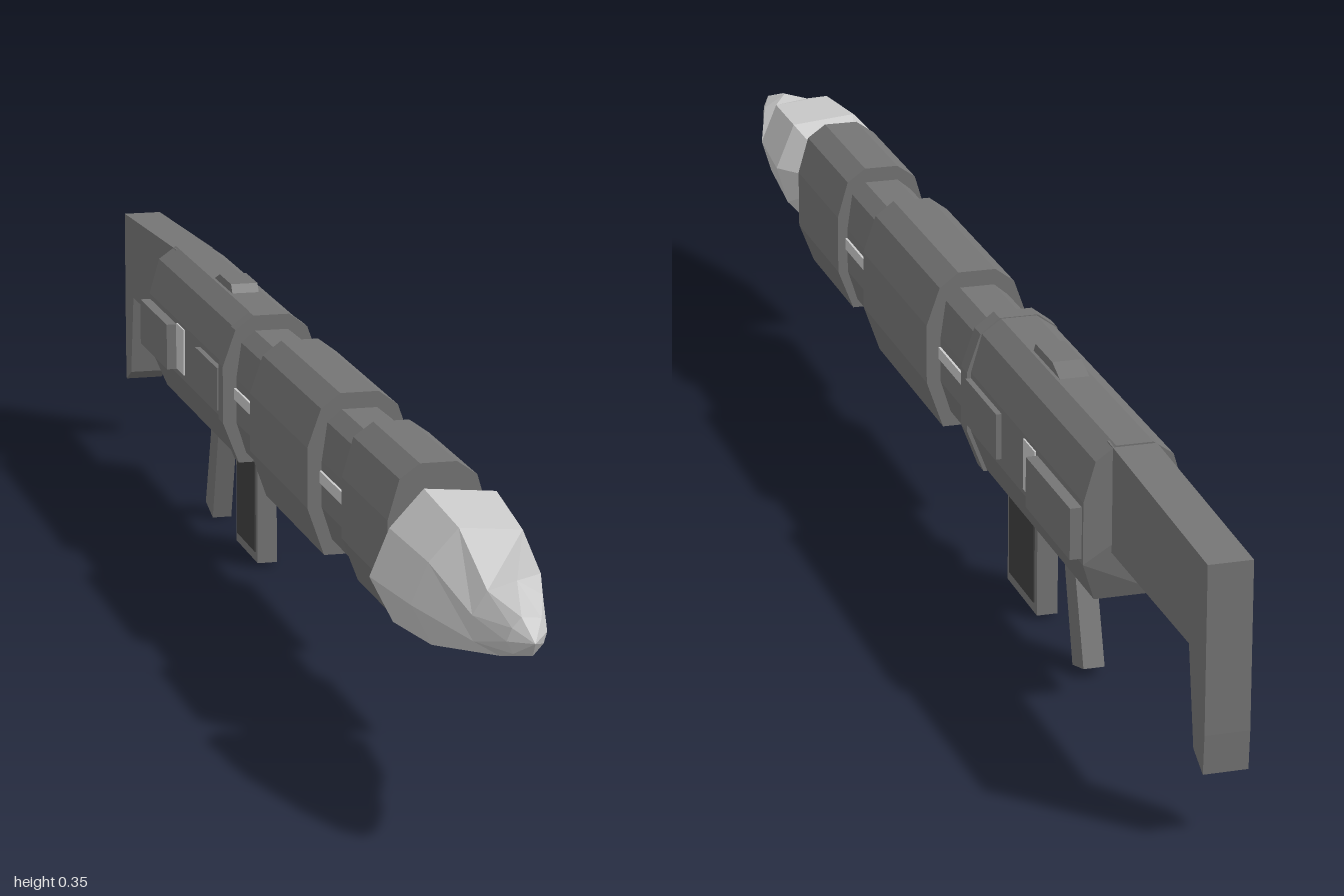
import * as THREE from 'three';

const CX = 0.012; // centre line of the launcher body

export function createModel() {
  const root = new THREE.Group();
  const mat = (color) => new THREE.MeshStandardMaterial({ color, flatShading: true });
  const dark = mat(0x757575), black = mat(0x404040), light = mat(0xcccccc);

  const add = (name, geo, material = dark) => {
    const mesh = new THREE.Mesh(geo, material);
    mesh.name = name;
    root.add(mesh);
    return mesh;
  };
  const box = (name, x, y0, y1, z0, z1, w, material) => {
    add(name, new THREE.BoxGeometry(w, y1 - y0, z1 - z0), material)
      .position.set(x, (y0 + y1) / 2, (z0 + z1) / 2);
  };
  // Mirrored section, given as the right half from top to bottom, run along z
  const section = (half, z0, z1) => {
    const pts = [...half, ...half.slice().reverse().map(([x, y]) => [-x, y])];
    const shape = new THREE.Shape(pts.map(([x, y]) => new THREE.Vector2(x + CX, y)));
    return new THREE.ExtrudeGeometry(shape, { depth: z1 - z0, bevelEnabled: false }).translate(0, 0, z0);
  };
  // Side outline in (z, y), given a width along x
  const plate = (pts, w, x = CX) => {
    const shape = new THREE.Shape(pts.map(([z, y]) => new THREE.Vector2(z, y)));
    return new THREE.ExtrudeGeometry(shape, { depth: w, bevelEnabled: false })
      .translate(0, 0, -w / 2).rotateY(-Math.PI / 2).translate(x, 0, 0);
  };

  // Barrel and the thicker sleeves along it
  const tube = [[0.022, 0.325], [0.04, 0.31], [0.047, 0.262], [0.047, 0.204], [0.034, 0.163]];
  const sleeve = [[0.022, 0.344], [0.046, 0.327], [0.06, 0.279], [0.06, 0.204], [0.04, 0.152]];
  const thick = [[0.024, 0.345], [0.048, 0.327], [0.065, 0.279], [0.065, 0.204], [0.044, 0.144]];
  add('barrel', section(tube, -0.25, 0.4));
  add('muzzleSleeve', section(sleeve, 0.375, 0.58));
  add('handguard', section(thick, -0.065, 0.23));

  // Receiver with its lower rear edge cut back
  const receiver = section(sleeve, -0.68, -0.22);
  const p = receiver.attributes.position;
  for (let i = 0; i < p.count; i++) {
    if (p.getZ(i) < -0.5 && p.getY(i) < 0.2) p.setZ(i, -0.66);
  }
  add('receiver', receiver);
  add('receiverCollar', section(thick.map(([x, y]) => [x, y < 0.15 ? 0.15 : y]), -0.24, -0.215));

  // Details on both sides
  for (const s of [1, -1]) {
    const side = s > 0 ? 'left' : 'right';
    for (const [z0, z1] of [[0.23, 0.375], [-0.215, -0.065]]) {
      box(side + 'Rod', CX + s * 0.045, 0.235, 0.25, z0, z1, 0.01, light);
    }
    box(side + 'ReceiverPanel', CX + s * 0.059, 0.215, 0.272, -0.367, -0.24, 0.016);
    box(side + 'RearPanel', CX + s * 0.062, 0.21, 0.272, -0.675, -0.508, 0.024);
    box(side + 'Latch', CX + s * 0.056, 0.212, 0.275, -0.503, -0.458, 0.012, light);
  }

  // Rear sight block
  add('sight', plate([[-0.355, 0.34], [-0.47, 0.34], [-0.43, 0.355], [-0.365, 0.355]], 0.036));

  // Stock with a drop-down butt
  add('stock', plate([
    [-0.66, 0.343], [-0.66, 0.215], [-0.945, 0.215], [-0.965, 0.1],
    [-0.997, 0.083], [-1, 0.13], [-1, 0.328],
  ], 0.052));

  // Magazine with dark side panels, and the slanted grip
  box('magazine', CX, 0.005, 0.16, -0.36, -0.24, 0.026);
  box('magazinePanels', CX, 0.018, 0.148, -0.35, -0.25, 0.029, black);
  add('grip', plate([[-0.455, 0.16], [-0.495, 0.16], [-0.542, 0.012], [-0.5, 0]], 0.026));

  // Faceted warhead: irregular rings closed by a point at each end
  const outline = [
    [0.085, 0.015], [0.06, 0.075], [-0.025, 0.083], [-0.065, 0.04],
    [-0.088, -0.015], [-0.06, -0.07], [0.025, -0.085], [0.07, -0.035],
  ];
  const rings = [[0.595, 0], [0.65, 1], [0.78, 0.86], [0.9, 0.53], [0.97, 0.26], [1, 0]];
  const verts = [], index = [], n = outline.length;
  rings.forEach(([z, k], r) => {
    for (let i = 0; i < n; i++) {
      // Every second ring is turned by half a side
      const [ax, ay] = outline[i], [bx, by] = outline[(i + 1) % n];
      const t = r > 1 && r % 2 ? 0.5 : 0;
      verts.push(k * (ax + (bx - ax) * t), 0.25 + k * (ay + (by - ay) * t), z);
      if (r === 0) continue;
      const a = (r - 1) * n + i, b = (r - 1) * n + (i + 1) % n;
      if (r > 1) index.push(a, b, b + n);
      if (k > 0) index.push(a, b + n, a + n);
    }
  });
  const head = new THREE.BufferGeometry();
  head.setAttribute('position', new THREE.Float32BufferAttribute(verts, 3));
  head.setIndex(index);
  const faceted = head.toNonIndexed();
  faceted.computeVertexNormals();
  add('warhead', faceted, light);

  return root;
}
